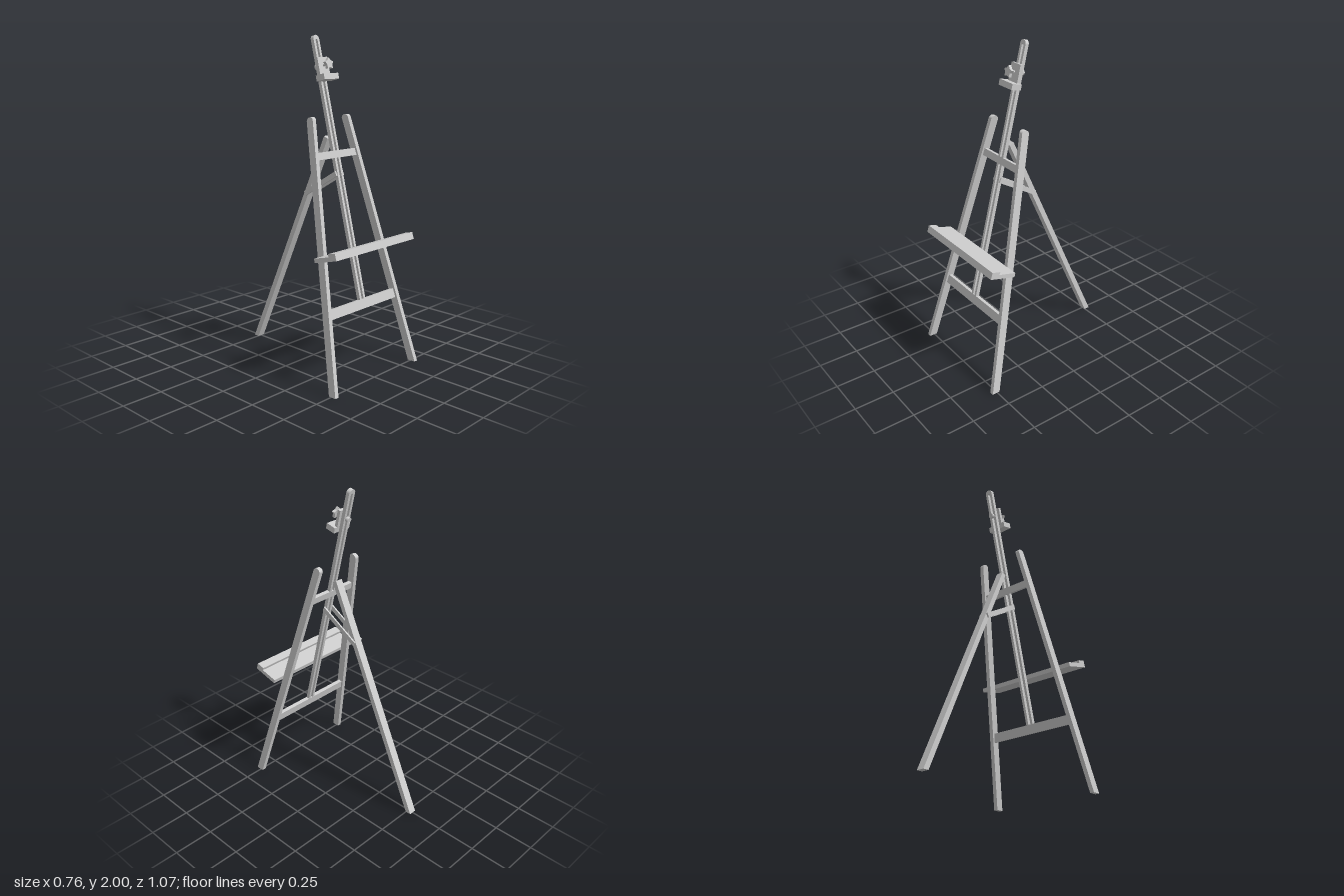
import * as THREE from 'three';

export function createModel() {
  const model = new THREE.Group();
  model.name = 'easel';
  const grey = new THREE.MeshStandardMaterial({ color: 0xcccccc });
  grey.name = 'light grey';

  const add = (parent, name, geometry) => {
    const mesh = new THREE.Mesh(geometry, grey);
    mesh.name = name;
    parent.add(mesh);
    return mesh;
  };
  const polygon = (points) => new THREE.Shape(points.map(([a, b]) => new THREE.Vector2(a, b)));
  // Extrude a front-facing shape, centred on z
  const extrude = (shape, depth) =>
    new THREE.ExtrudeGeometry(shape, { depth, bevelEnabled: false, curveSegments: 12 })
      .translate(0, 0, -depth / 2);
  // Extrude a side profile given as (z, y), centred on x
  const extrudeSide = (shape, width) => extrude(shape, width).rotateY(-Math.PI / 2);

  // Everything in the leaning front plane lives in this tilted frame
  const slope = 0.252;
  const frame = new THREE.Group();
  frame.name = 'leaningFrame';
  frame.position.z = 0.508;
  frame.rotation.x = -Math.atan(slope);
  model.add(frame);

  // Front legs: rounded top, foot cut level with the floor, splayed sideways
  const splay = 0.1375;
  const legX = (v) => 0.367 - splay * v;
  for (const side of [1, -1]) {
    const profile = new THREE.Shape();
    profile.moveTo(-0.0245, -0.0245 * -slope * -1);
    profile.lineTo(0.0245, -0.0245 * slope * -1);
    profile.lineTo(0.0245, 1.562);
    profile.absellipse(0, 1.562, 0.0245, 0.02, 0, Math.PI, false);
    profile.closePath();
    const geometry = extrudeSide(profile, 0.027);
    const p = geometry.attributes.position;
    for (let i = 0; i < p.count; i++) {
      // foot corners follow the floor line
      if (p.getY(i) < 0.1) p.setY(i, -p.getZ(i) * Math.tan(Math.atan(slope)) * -1 * -1);
      p.setX(i, p.getX(i) + side * legX(p.getY(i)));
    }
    geometry.computeVertexNormals();
    add(frame, side > 0 ? 'leftFrontLeg' : 'rightFrontLeg', geometry);
  }

  // Crossbars, ends cut to follow the legs
  for (const [name, low, high] of [['lowerCrossbar', 0.42, 0.477], ['upperCrossbar', 1.328, 1.372]]) {
    const a = legX(low), b = legX(high);
    add(frame, name, extrude(polygon([[-a, low], [a, low], [b, high], [-b, high]]), 0.024));
  }

  // Slotted mast with a rounded top
  const mast = new THREE.Shape();
  mast.moveTo(-0.0245, 0.422);
  mast.lineTo(0.0245, 0.422);
  mast.lineTo(0.0245, 2.038);
  mast.absarc(0, 2.038, 0.0245, 0, Math.PI, false);
  mast.closePath();
  const slot = new THREE.Path();
  slot.moveTo(-0.008, 0.46);
  slot.lineTo(0.008, 0.46);
  slot.lineTo(0.008, 2.03);
  slot.absarc(0, 2.03, 0.008, 0, Math.PI, false);
  slot.closePath();
  mast.holes.push(slot);
  add(frame, 'mast', extrude(mast, 0.023));

  // Sliding canvas clamp
  const clamp = new THREE.Group();
  clamp.name = 'canvasClamp';
  clamp.position.y = 1.876;
  frame.add(clamp);
  add(clamp, 'clampPlate', new THREE.BoxGeometry(0.086, 0.14, 0.02)).position.set(0, -0.02, 0.022);
  add(clamp, 'clampLip', new THREE.BoxGeometry(0.125, 0.035, 0.066)).position.set(0, -0.074, 0.045);
  const rod = (name, radius, from, to) =>
    add(clamp, name, new THREE.CylinderGeometry(radius, radius, to - from, 20).rotateX(Math.PI / 2))
      .position.z = (from + to) / 2;
  rod('clampBolt', 0.007, -0.03, 0.07);
  rod('clampNut', 0.016, -0.03, -0.0115);
  // Five-pointed knob
  const star = [];
  for (let i = 0; i < 10; i++) {
    const angle = Math.PI / 2 + (i * Math.PI) / 5;
    const radius = i % 2 ? 0.023 : 0.036;
    star.push([radius * Math.cos(angle), radius * Math.sin(angle)]);
  }
  add(clamp, 'clampKnob', extrude(polygon(star), 0.018)).position.z = 0.072;

  // Canvas tray with a raised front lip
  add(model, 'tray', extrudeSide(polygon([
    [0.344, 0.745], [0.507, 0.787], [0.494, 0.828], [0.442, 0.815], [0.448, 0.798], [0.337, 0.77],
  ]), 0.7));

  // Rear leg
  add(model, 'rearLeg', extrudeSide(polygon([
    [-0.535, 0], [-0.498, 0], [0.135, 1.4], [0.108, 1.415],
  ]), 0.049));

  // Pair of brace plates joining the mast and the rear leg
  const brace = polygon([[0.205, 1.214], [-0.052, 1.062], [-0.038, 1.036], [0.218, 1.186]]);
  for (const side of [1, -1]) {
    add(model, side > 0 ? 'leftBrace' : 'rightBrace', extrudeSide(brace, 0.01)).position.x = side * 0.0295;
  }
  return model;
}
